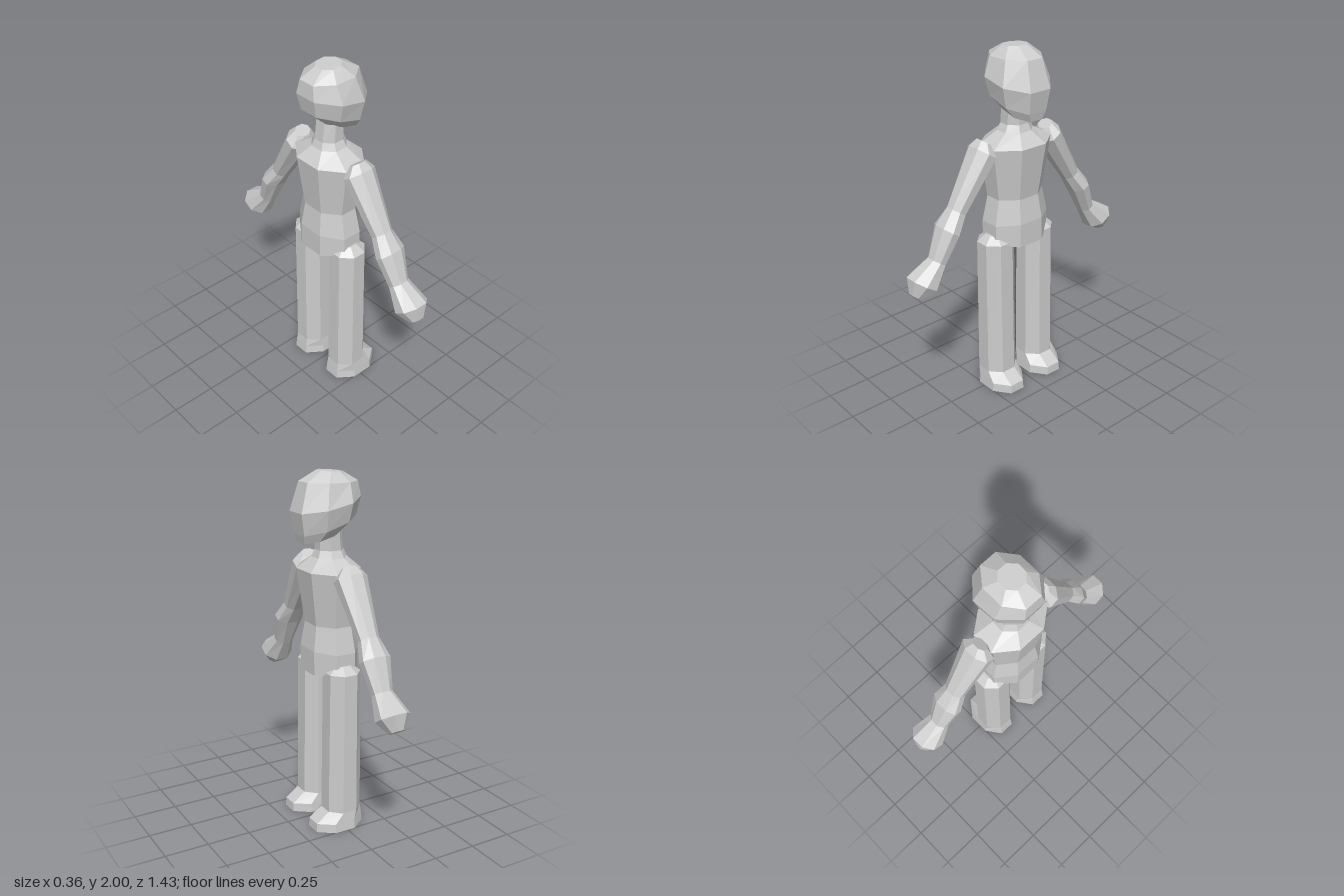
import * as THREE from 'three';

const SIDES = 8;
const grey = new THREE.MeshStandardMaterial({ color: 0xcccccc });
grey.name = 'plain grey';
grey.flatShading = true;

// Unit octagon with flat front, back and sides, counted anticlockwise from above
const octagon = Array.from({ length: SIDES }, (_, j) => {
  const a = Math.PI / 8 + (j * Math.PI) / 4;
  return [Math.cos(a) / Math.cos(Math.PI / 8), Math.sin(a) / Math.cos(Math.PI / 8)];
});

// Closed skin over rings of points, listed from bottom to top
function loft(name, rings) {
  const pos = rings.flat(2);
  const index = [];
  const at = (i, j) => i * SIDES + (j % SIDES);
  for (let i = 0; i < rings.length - 1; i++) {
    for (let j = 0; j < SIDES; j++) {
      index.push(at(i, j), at(i, j + 1), at(i + 1, j + 1));
      index.push(at(i, j), at(i + 1, j + 1), at(i + 1, j));
    }
  }
  const top = rings.length - 1;
  for (let j = 1; j < SIDES - 1; j++) {
    index.push(at(0, 0), at(0, j + 1), at(0, j));
    index.push(at(top, 0), at(top, j), at(top, j + 1));
  }
  const indexed = new THREE.BufferGeometry();
  indexed.setAttribute('position', new THREE.Float32BufferAttribute(pos, 3));
  indexed.setIndex(index);
  const geometry = indexed.toNonIndexed();
  geometry.computeVertexNormals();
  const mesh = new THREE.Mesh(geometry, grey);
  mesh.name = name;
  return mesh;
}

// Ring from back and front edges (x, y), half width in z, and a lift at the sides
function ring([xb, yb, xf, yf, rz, lift = 0], zc = 0) {
  return octagon.map(([c, s]) => [
    (xb + xf) / 2 + (c * (xf - xb)) / 2,
    (yb + yf) / 2 + (c * (yf - yb)) / 2 + lift * Math.abs(s),
    zc - s * rz,
  ]);
}

// Ring across a sloping arm
function armRing([z, y, rx, rv], side) {
  const ty = 0.83, tz = -0.55 * side;
  return octagon.map(([c, s]) => [-0.02 + c * rx, y + s * rv * tz, side * z - s * rv * ty]);
}

export function createModel() {
  const model = new THREE.Group();
  model.name = 'figure';

  // Head: tilted rings from jaw to crown
  model.add(loft('head', [
    [-0.07, 1.68, 0.15, 1.625, 0.09],
    [-0.16, 1.765, 0.16, 1.67, 0.135],
    [-0.18, 1.86, 0.18, 1.79, 0.16],
    [-0.17, 1.94, 0.135, 1.945, 0.12],
    [-0.09, 1.99, 0.04, 2.0, 0.065],
  ].map((r) => ring(r))));

  // Torso running up into the neck
  model.add(loft('torso', [
    [-0.16, 0.885, 0.115, 0.885, 0.185, 0.035],
    [-0.16, 1.04, 0.115, 1.04, 0.185, -0.01],
    [-0.14, 1.175, 0.095, 1.175, 0.155],
    [-0.175, 1.475, 0.135, 1.475, 0.2],
    [-0.11, 1.54, 0.065, 1.54, 0.095],
    [-0.095, 1.58, 0.05, 1.58, 0.075],
    [-0.08, 1.7, 0.05, 1.7, 0.075],
  ].map((r) => ring(r))));

  // Arms, listed from fist to shoulder as z, y and two half widths
  const arm = [
    [0.683, 0.762, 0.04, 0.04],
    [0.642, 0.827, 0.088, 0.085],
    [0.543, 0.925, 0.055, 0.045],
    [0.47, 1.085, 0.083, 0.055],
    [0.405, 1.175, 0.056, 0.05],
    [0.225, 1.46, 0.088, 0.07],
    [0.215, 1.515, 0.045, 0.035],
  ];
  // Legs, listed from sole to hip
  const leg = [
    [-0.135, 0, 0.165, 0, 0.112],
    [-0.13, 0.05, 0.162, 0.05, 0.108],
    [-0.122, 0.105, 0.085, 0.105, 0.102],
    [-0.115, 0.925, 0.075, 0.925, 0.1],
    [-0.07, 0.965, 0.03, 0.965, 0.055],
  ];
  for (const [label, side] of [['left', -1], ['right', 1]]) {
    model.add(loft(label + 'Arm', arm.map((r) => armRing(r, side))));
    model.add(loft(label + 'Leg', leg.map((r) => ring(r, side * 0.142))));
  }
  return model;
}
